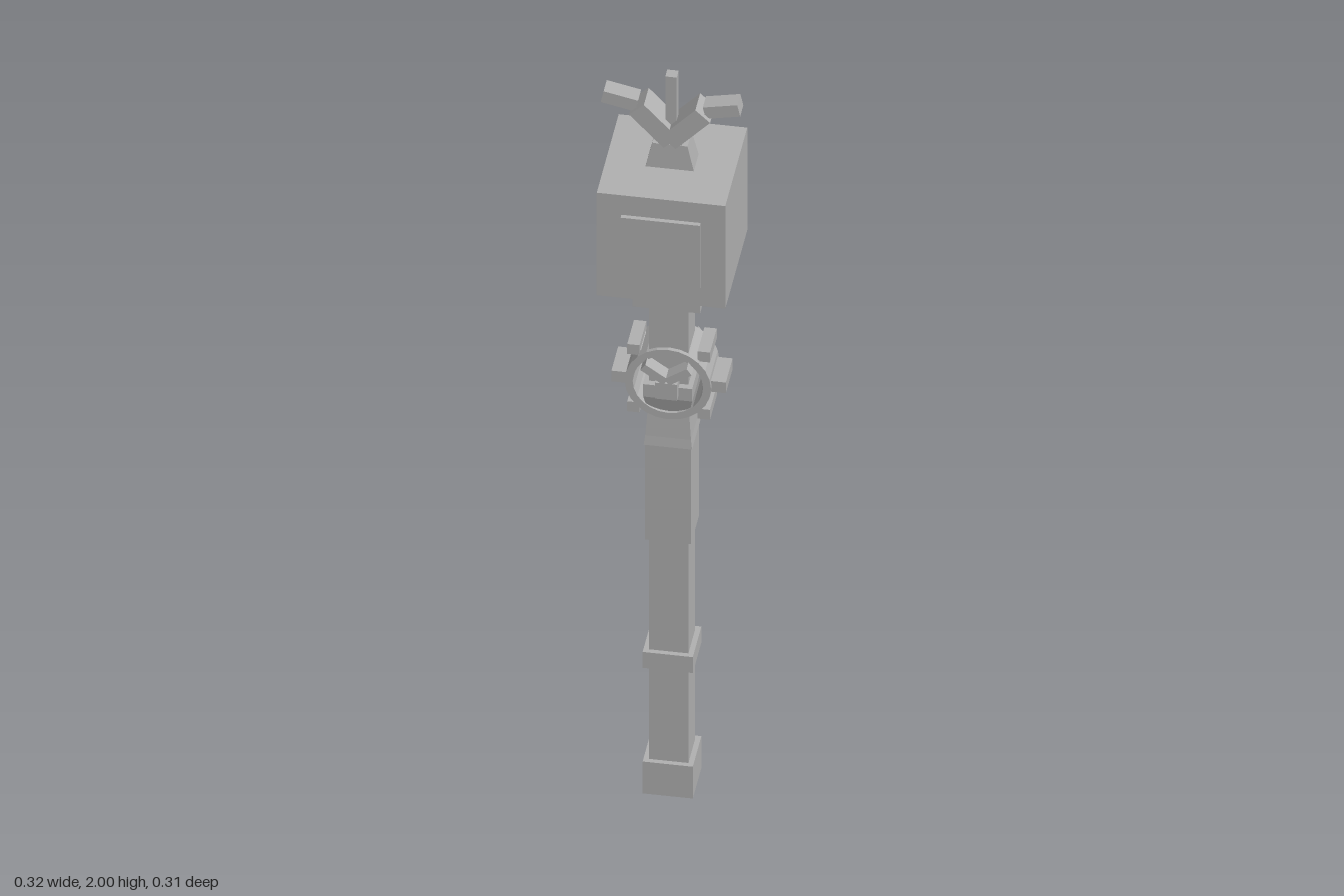
import * as THREE from 'three';

export function createModel() {
  const model = new THREE.Group();
  model.name = 'scepter';
  const stone = new THREE.MeshStandardMaterial({ color: 0xb0b0b0, flatShading: true });
  stone.name = 'plain grey';

  const add = (name, geometry, x, y, z, tilt = 0) => {
    const mesh = new THREE.Mesh(geometry, stone);
    mesh.name = name;
    mesh.position.set(x, y, z);
    mesh.rotation.z = tilt;
    model.add(mesh);
    return mesh;
  };
  const box = (name, w, h, d, x, y, z, tilt) =>
    add(name, new THREE.BoxGeometry(w, h, d), x, y, z, tilt);
  // Square block between two heights
  const block = (name, half, y0, y1, halfZ = half) =>
    box(name, half * 2, y1 - y0, halfZ * 2, 0, (y0 + y1) / 2, 0);
  // Block whose top is scaled to a different size
  const taper = (name, half, halfZ, topX, topZ, y0, y1) => {
    const g = new THREE.BoxGeometry(half * 2, y1 - y0, halfZ * 2);
    const p = g.attributes.position;
    for (let i = 0; i < p.count; i++) {
      if (p.getY(i) > 0) {
        p.setX(i, Math.sign(p.getX(i)) * topX);
        p.setZ(i, Math.sign(p.getZ(i)) * topZ);
      }
    }
    g.computeVertexNormals();
    return add(name, g, 0, (y0 + y1) / 2, 0);
  };

  // Staff
  block('pommel', 0.057, 0, 0.09);
  block('shaft', 0.045, 0.09, 1.39);
  block('lowerRing', 0.057, 0.355, 0.4);
  block('grip', 0.052, 0.715, 0.99);
  taper('gripRim', 0.055, 0.055, 0.052, 0.052, 0.985, 1.01);
  taper('gripNeck', 0.052, 0.052, 0.047, 0.047, 1.01, 1.08);
  taper('gripFlare', 0.047, 0.047, 0.056, 0.058, 1.08, 1.125);
  block('gripCollar', 0.056, 1.125, 1.16, 0.06);

  // Wheel emblem around the shaft
  const cy = 1.162, depth = 0.11;
  const rim = new THREE.Shape();
  rim.absarc(0, 0, 0.098, 0, Math.PI * 2, false);
  const hole = new THREE.Path();
  hole.absarc(0, 0, 0.08, 0, Math.PI * 2, true);
  rim.holes.push(hole);
  const rimGeometry = new THREE.ExtrudeGeometry(rim, { depth, bevelEnabled: false, curveSegments: 12 });
  add('wheelRim', rimGeometry, 0, cy, -depth / 2);
  for (const side of [-1, 1]) {
    box('sideSpoke', 0.036, 0.03, 0.09, side * 0.112, cy, 0);
    for (const up of [-1, 1]) {
      box('cornerSpoke', 0.028, 0.028, 0.09, side * 0.08, cy + up * 0.081, 0);
      box('spokeStem', 0.03, 0.012, 0.07, side * 0.068, cy + up * 0.068, 0, side * up * Math.PI / 4);
    }
  }

  // Face relief on both sides of the emblem
  for (const face of [-1, 1]) {
    box('nose', 0.05, 0.045, 0.03, 0, 1.16, face * 0.064);
    for (const side of [-1, 1]) {
      box('brow', 0.062, 0.02, 0.036, side * 0.027, 1.205, face * 0.062, side * 0.6);
    }
  }

  // Head
  block('headCollar', 0.077, 1.39, 1.465);
  block('headCube', 0.146, 1.465, 1.755);
  for (const face of [-1, 1]) {
    box('headPanel', 0.18, 0.18, 0.012, 0, 1.61, face * 0.151);
  }

  // Crown with forked branches
  taper('crownBase', 0.055, 0.032, 0.04, 0.028, 1.755, 1.82);
  for (const side of [-1, 1]) {
    box('branch', 0.115, 0.046, 0.064, side * 0.036, 1.87, 0, side * 0.82);
    box('branchTip', 0.08, 0.032, 0.042, side * 0.116, 1.922, 0, side * 0.21);
  }
  block('spikeRoot', 0.027, 1.8, 1.86, 0.026);
  block('spike', 0.013, 1.84, 2.0);

  return model;
}
